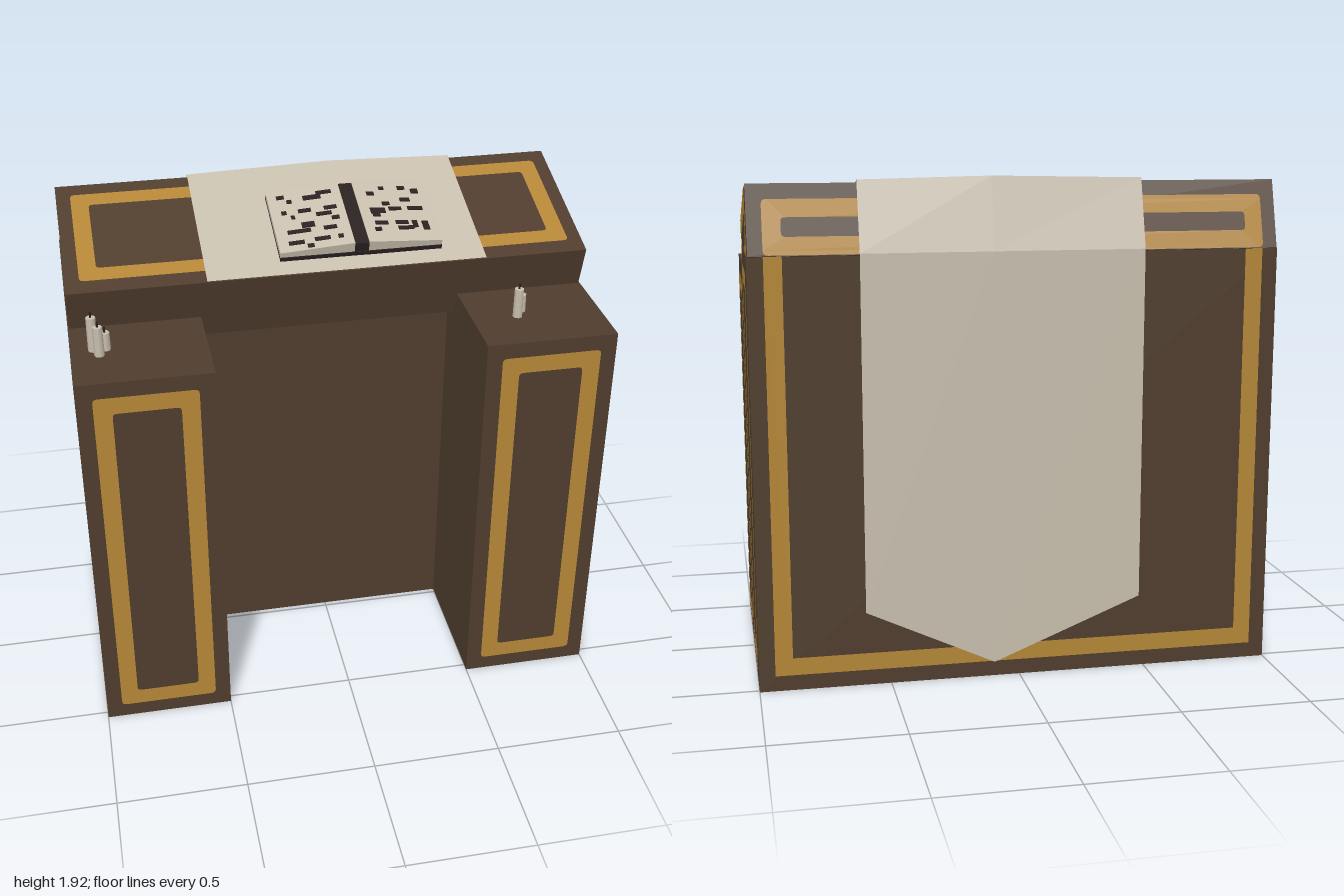
import * as THREE from 'three';

export function createModel() {
  const mat = (name, color) => {
    const m = new THREE.MeshStandardMaterial({ color });
    m.name = name;
    return m;
  };
  const wood = mat('dark wood', 0x503d2e);
  const gold = mat('gold inlay', 0xb48636);
  const linen = mat('linen', 0xc8bfae);
  linen.side = THREE.DoubleSide;
  const ink = mat('ink', 0x2a2020);
  const model = new THREE.Group();
  model.name = 'lectern';

  const add = (parent, name, geo, material, x = 0, y = 0, z = 0) => {
    const m = new THREE.Mesh(geo, material);
    m.name = name;
    m.position.set(x, y, z);
    parent.add(m);
    return m;
  };
  // Box given by its minimum and maximum corners
  const block = (parent, name, material, [x0, y0, z0], [x1, y1, z1]) =>
    add(parent, name, new THREE.BoxGeometry(x1 - x0, y1 - y0, z1 - z0), material,
      (x0 + x1) / 2, (y0 + y1) / 2, (z0 + z1) / 2);

  const roundRect = (path, w, h, r) => {
    const a = w / 2, b = h / 2;
    path.moveTo(-a + r, -b);
    path.lineTo(a - r, -b).quadraticCurveTo(a, -b, a, -b + r);
    path.lineTo(a, b - r).quadraticCurveTo(a, b, a - r, b);
    path.lineTo(-a + r, b).quadraticCurveTo(-a, b, -a, b - r);
    path.lineTo(-a, -b + r).quadraticCurveTo(-a, -b, -a + r, -b);
    return path;
  };
  // Flat inlay frame facing +z before it is turned
  const inlay = (parent, name, w, h, pos, rx = 0, ry = 0, band = 0.067, r = 0.018) => {
    const s = roundRect(new THREE.Shape(), w, h, r);
    s.holes.push(roundRect(new THREE.Path(), w - 2 * band, h - 2 * band, 0.015));
    const m = add(parent, name, new THREE.ShapeGeometry(s, 3), gold, ...pos);
    m.rotation.set(rx, ry, 0);
  };

  // Rear body
  block(model, 'rearBody', wood, [-1, 0, -0.515], [1, 1.64, -0.02]);
  // Back inlay, open at the top where it runs under the slanted desk
  const u = new THREE.Shape([[-0.94, 1.64], [-0.94, 0.06], [0.94, 0.06], [0.94, 1.64],
    [0.873, 1.64], [0.873, 0.127], [-0.873, 0.127], [-0.873, 1.64]]
    .map(([x, y]) => new THREE.Vector2(x, y)));
  add(model, 'backInlay', new THREE.ShapeGeometry(u), gold, 0, 0, -0.518).rotation.y = Math.PI;

  // Pedestals and side inlays
  for (const s of [-1, 1]) {
    const side = s > 0 ? 'left' : 'right';
    const turn = s * Math.PI / 2;
    block(model, side + 'Pedestal', wood,
      [s > 0 ? 0.5 : -1, 0, -0.02], [s > 0 ? 1 : -0.5, 1.56, 0.53]);
    inlay(model, side + 'FrontInlay', 0.38, 1.44, [s * 0.75, 0.78, 0.533]);
    inlay(model, side + 'PedestalInlay', 0.43, 1.44, [s * 1.003, 0.78, 0.26], 0, turn);
    inlay(model, side + 'BodyInlay', 0.375, 1.52, [s * 1.003, 0.82, -0.268], 0, turn);
  }

  // Slanted desk: local origin on its front top edge, -z runs up the slope
  const L = 0.624, H = 0.265, tilt = 0.276;
  const desk = new THREE.Group();
  desk.name = 'slantedDesk';
  desk.position.set(0, 1.725, 0.15);
  desk.rotation.x = tilt;
  model.add(desk);
  block(desk, 'deskBox', wood, [-0.995, -H, -L], [0.995, 0, 0]);
  inlay(desk, 'deskTopInlay', 1.88, 0.5, [0, 0.003, -L / 2], -Math.PI / 2);
  inlay(desk, 'deskBackInlay', 1.88, 0.205, [0, -0.16, -L - 0.003], 0, Math.PI);
  for (const s of [-1, 1])
    inlay(desk, 'deskSideInlay', L, H, [s * 0.998, -H / 2, -L / 2], 0, s * Math.PI / 2, 0.08, 0.002);

  // Cloth: rows run from the front edge, over the back, down to the pointed hem
  const rows = [
    [[1.731, 0.153], [1.731, 0.153]],
    [[1.906, -0.452], [1.917, -0.462]],
    [[1.645, -0.526], [1.645, -0.53]],
    [[0.29, -0.526], [0.06, -0.53]],
  ];
  const pos = [], idx = [];
  for (const [edge, mid] of rows)
    pos.push(-0.475, ...edge, 0.1, ...mid, 0.595, ...edge);
  for (let r = 0; r < rows.length - 1; r++)
    for (let c = 0; c < 2; c++) {
      const a = r * 3 + c;
      idx.push(a, a + 1, a + 4, a, a + 4, a + 3);
    }
  let cloth = new THREE.BufferGeometry();
  cloth.setAttribute('position', new THREE.Float32BufferAttribute(pos, 3));
  cloth.setIndex(idx);
  cloth = cloth.toNonIndexed();
  cloth.computeVertexNormals();
  add(model, 'cloth', cloth, linen);

  // Open book
  const book = new THREE.Group();
  book.name = 'openBook';
  desk.add(book);
  const cx = 0.1225, near = -0.075, far = -0.435;
  const inner = 0.0275, outer = 0.3125, low = 0.045, high = 0.067;
  block(book, 'cover', ink, [cx - outer, 0.006, far - 0.004], [cx + outer, 0.024, near + 0.004]);
  block(book, 'spine', ink, [cx - inner, 0.006, far], [cx + inner, 0.062, near]);

  // Script marks: x, z, width, depth in plan
  const marks = {
    '-1': [
      [-0.14, -0.21, 0.03, 0.02], [0.03, -0.21, 0.06, 0.02], [-0.02, -0.19, 0.07, 0.025],
      [-0.11, -0.18, 0.02, 0.02], [-0.14, -0.12, 0.02, 0.02], [-0.06, -0.12, 0.05, 0.02],
      [0.04, -0.12, 0.05, 0.02], [-0.11, -0.09, 0.015, 0.02], [0.01, -0.09, 0.06, 0.02],
      [-0.06, -0.04, 0.05, 0.03], [0.05, -0.06, 0.03, 0.02], [-0.1, -0.01, 0.09, 0.02],
      [0.02, -0.01, 0.05, 0.02], [-0.12, 0.05, 0.06, 0.02], [-0.02, 0.045, 0.06, 0.02],
      [0.05, 0.045, 0.02, 0.02], [-0.07, 0.075, 0.025, 0.02]],
    '1': [
      [0.21, -0.18, 0.03, 0.02], [0.26, -0.21, 0.02, 0.02], [0.34, -0.21, 0.03, 0.02],
      [0.39, -0.19, 0.03, 0.025], [0.26, -0.12, 0.03, 0.02], [0.34, -0.14, 0.04, 0.02],
      [0.22, -0.08, 0.06, 0.03], [0.29, -0.09, 0.05, 0.02], [0.37, -0.09, 0.06, 0.02],
      [0.21, -0.06, 0.03, 0.03], [0.22, -0.01, 0.05, 0.02], [0.3, -0.01, 0.05, 0.02],
      [0.39, 0.01, 0.025, 0.05], [0.2, 0.025, 0.025, 0.02], [0.31, 0.02, 0.06, 0.02],
      [0.35, 0.0, 0.02, 0.04]],
  };
  const slope = Math.atan((high - low) / (outer - inner));
  for (const s of [-1, 1]) {
    const pts = [[outer, 0.022], [outer, low], [inner, high], [inner, 0.022]];
    const shape = new THREE.Shape(pts.map(([x, y]) => new THREE.Vector2(s * x, y)));
    add(book, 'pages', new THREE.ExtrudeGeometry(shape, { depth: near - far, bevelEnabled: false }),
      linen, cx, 0, far);
    for (const [x, z, w, d] of marks[s]) {
      const t = (Math.abs(x - cx) - inner) / (outer - inner);
      const m = add(book, 'scriptMark', new THREE.BoxGeometry(w, 0.004, d), ink,
        x, high + (low - high) * t + 0.001, (z - 0.166) / Math.cos(tilt));
      m.rotation.z = -s * slope;
    }
  }

  // Candles: x, z, height
  const candles = [[-0.915, 0.285, 0.135], [-0.895, 0.325, 0.115], [-0.87, 0.285, 0.07],
    [0.675, 0.325, 0.115], [0.7, 0.285, 0.07]];
  for (const [x, z, h] of candles) {
    add(model, 'candle', new THREE.CylinderGeometry(0.018, 0.019, h, 8), linen, x, 1.56 + h / 2, z);
    add(model, 'wick', new THREE.CylinderGeometry(0.004, 0.004, 0.022, 5), ink, x, 1.57 + h, z);
  }
  return model;
}
